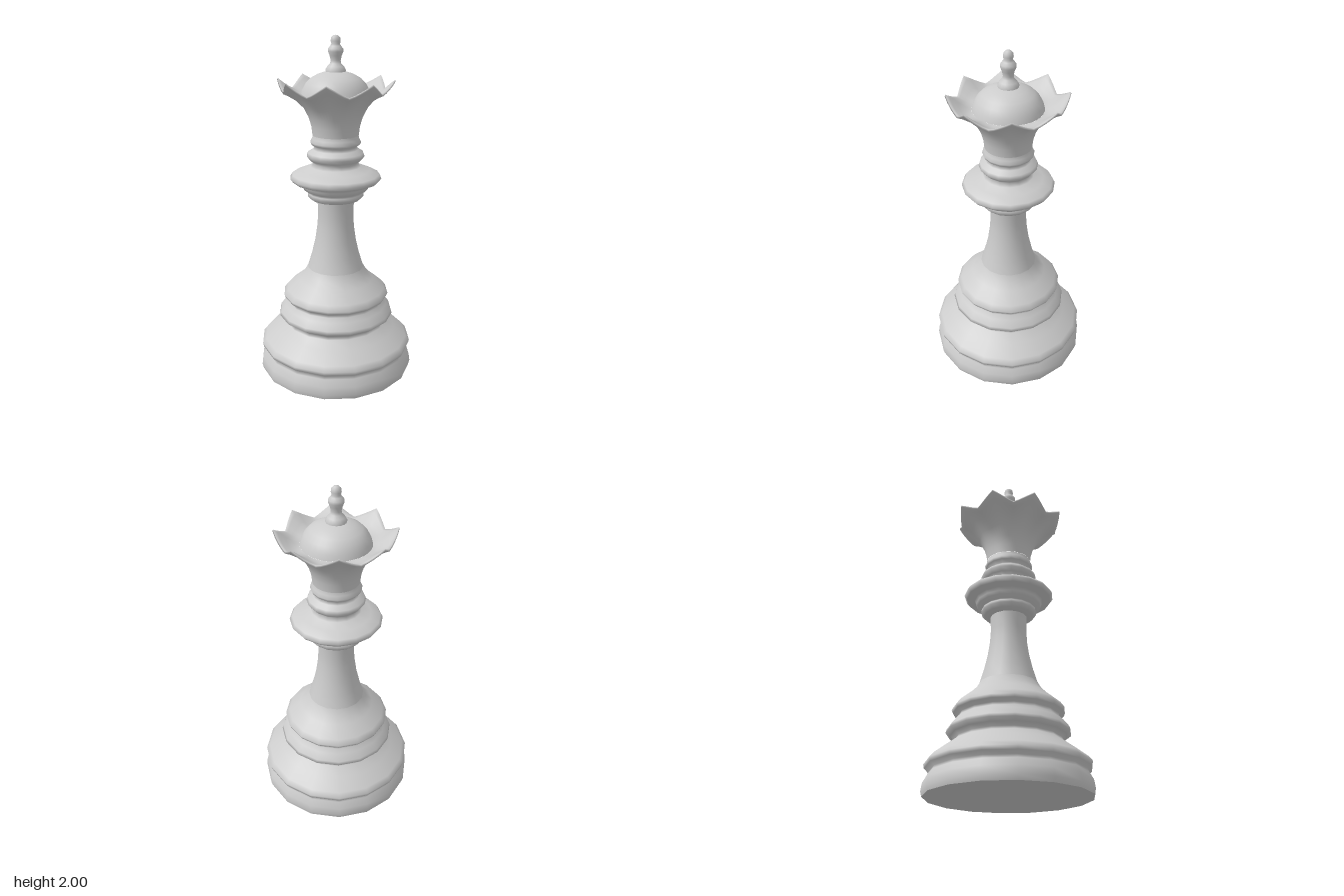
import * as THREE from 'three';
import { mergeVertices } from 'three/addons/utils/BufferGeometryUtils.js';

const material = new THREE.MeshStandardMaterial({ color: 0xcccccc });

// Turned part from [radius, height] pairs, listed bottom to top; reshape may move its vertices
function turned(name, profile, sides = 16, reshape = null) {
  const lathe = new THREE.LatheGeometry(profile.map(([r, y]) => new THREE.Vector2(r, y)), sides);
  if (reshape) reshape(lathe.attributes.position, profile.length);
  lathe.deleteAttribute('uv');
  lathe.deleteAttribute('normal');
  const geometry = mergeVertices(lathe, 1e-5); // close the seam so shading stays smooth
  geometry.computeVertexNormals();
  const mesh = new THREE.Mesh(geometry, material);
  mesh.name = name;
  return mesh;
}

export function createModel() {
  const group = new THREE.Group();
  group.name = 'chessQueen';

  // Slightly domed underside
  group.add(turned('underside', [[0, 0], [0.17, 0], [0.458, 0.012]]));

  // Stepped foot with three rounded shoulders
  group.add(turned('foot', [
    [0.458, 0.012], [0.465, 0.04], [0.458, 0.085], [0.435, 0.125], [0.428, 0.143],
    [0.452, 0.16], [0.457, 0.182], [0.435, 0.208], [0.36, 0.265], [0.305, 0.305],
    [0.297, 0.322], [0.322, 0.34], [0.346, 0.357], [0.34, 0.377], [0.31, 0.415],
    [0.287, 0.438], [0.284, 0.455], [0.31, 0.47], [0.317, 0.488], [0.295, 0.518],
    [0.225, 0.575], [0.19, 0.61], [0.167, 0.65],
  ]));

  // Waisted stem
  group.add(turned('stem', [
    [0.167, 0.65], [0.143, 0.73], [0.122, 0.82], [0.109, 0.91], [0.105, 0.98], [0.108, 1.065],
  ]));

  // Stacked collars
  group.add(turned('collars', [
    [0.108, 1.065], [0.145, 1.075], [0.164, 1.095], [0.162, 1.112], [0.157, 1.122],
    [0.188, 1.135], [0.194, 1.155], [0.205, 1.174], [0.25, 1.182], [0.266, 1.203],
    [0.252, 1.224], [0.2, 1.246], [0.145, 1.268], [0.127, 1.287], [0.15, 1.308],
    [0.167, 1.33], [0.16, 1.35], [0.13, 1.368], [0.12, 1.383], [0.14, 1.398],
    [0.146, 1.412], [0.136, 1.43], [0.132, 1.45],
  ]));

  // Fluted crown; the third number is how strongly a point is drawn into the eight tips
  const crown = [
    [0.132, 1.45, 0], [0.138, 1.5, 0], [0.152, 1.55, 0.05], [0.18, 1.605, 0.15],
    [0.225, 1.65, 0.4], [0.27, 1.677, 0.75], [0.296, 1.688, 1], [0.293, 1.698, 1],
    [0.278, 1.694, 0.8], [0.25, 1.682, 0.4], [0.22, 1.674, 0.12], [0.195, 1.675, 0],
  ];
  group.add(turned('crown', crown, 64, (pos, rows) => {
    for (let i = 0; i < pos.count; i++) {
      const [r, y, pull] = crown[i % rows];
      const angle = Math.atan2(pos.getX(i), pos.getZ(i));
      const step = angle / (Math.PI / 4);
      const fromTip = Math.abs(step - Math.round(step)) * 2; // 0 at a tip, 1 in a valley
      const spike = Math.pow(1 - fromTip, 1.25) * pull;
      const radius = r + 0.036 * spike;
      pos.setXYZ(i, radius * Math.sin(angle), y + 0.066 * spike, radius * Math.cos(angle));
    }
  }));

  // Dome inside the crown
  group.add(turned('dome', [
    [0.195, 1.675], [0.187, 1.705], [0.168, 1.74], [0.14, 1.768], [0.1, 1.79], [0.056, 1.804], [0, 1.81],
  ], 32));

  // Finial on the dome
  group.add(turned('finial', [
    [0.057, 1.8], [0.057, 1.815], [0.047, 1.832], [0.031, 1.848], [0.028, 1.865],
    [0.034, 1.89], [0.043, 1.912], [0.042, 1.927], [0.03, 1.942], [0.024, 1.952],
    [0.028, 1.968], [0.025, 1.986], [0.014, 1.997], [0, 2],
  ]));

  return group;
}
